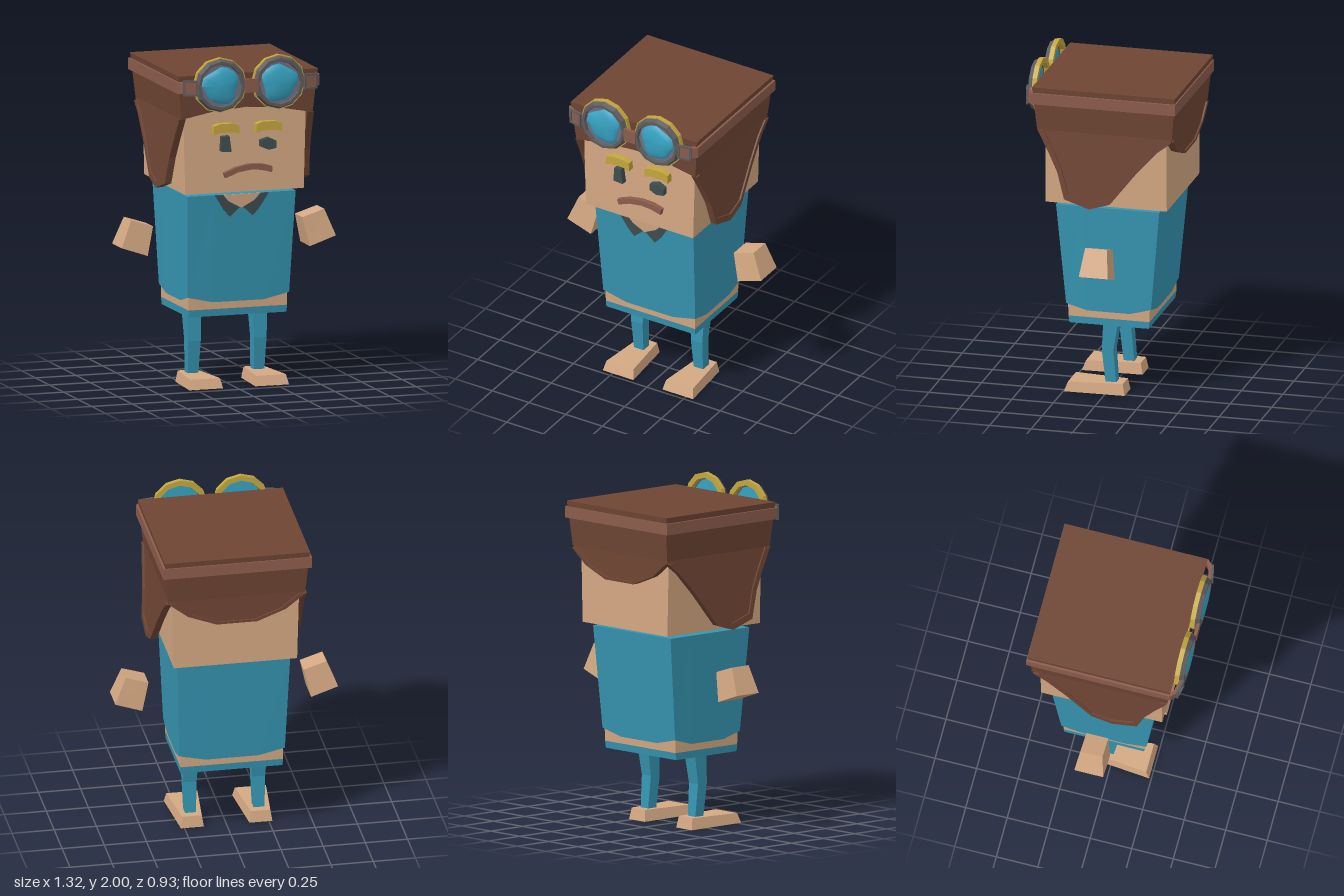
import * as THREE from 'three';

const mat = (name, color, side = THREE.FrontSide) => {
  const m = new THREE.MeshStandardMaterial({ color, side });
  m.name = name;
  return m;
};
const D = THREE.DoubleSide;
const CZ = -0.033; // depth centre of head and torso

// Skin through rings of [x, y, z]; rings run counterclockwise seen from the end
function loft(rings, capStart = true, capEnd = true) {
  const pos = [];
  const tri = (a, b, c) => pos.push(...a, ...b, ...c);
  const n = rings[0].length;
  for (let r = 0; r < rings.length - 1; r++) {
    for (let i = 0; i < n; i++) {
      const j = (i + 1) % n, lo = rings[r], hi = rings[r + 1];
      tri(lo[i], lo[j], hi[j]);
      tri(lo[i], hi[j], hi[i]);
    }
  }
  const first = rings[0], last = rings[rings.length - 1];
  for (let i = 1; i < n - 1; i++) {
    if (capStart) tri(first[0], first[i + 1], first[i]);
    if (capEnd) tri(last[0], last[i], last[i + 1]);
  }
  const g = new THREE.BufferGeometry();
  g.setAttribute('position', new THREE.Float32BufferAttribute(pos, 3));
  g.computeVertexNormals();
  return g;
}

// Rectangle ring, with k points per side and a height rule
function ring(y, hx, hz, cx = 0, cz = CZ, k = 1, yRule = () => y) {
  const c = [[hx, hz], [hx, -hz], [-hx, -hz], [-hx, hz]];
  const out = [];
  for (let s = 0; s < 4; s++) {
    for (let i = 0; i < k; i++) {
      const t = i / k, a = c[s], b = c[(s + 1) % 4];
      out.push([cx + a[0] + (b[0] - a[0]) * t, yRule(s, t), cz + a[1] + (b[1] - a[1]) * t]);
    }
  }
  return out;
}

function plate(points, depth, z) {
  const shape = new THREE.Shape(points.map(p => new THREE.Vector2(...p)));
  return new THREE.ExtrudeGeometry(shape, { depth, bevelEnabled: false }).translate(0, 0, z);
}

function flatLathe(profile, sides) {
  const g = new THREE.LatheGeometry(profile.map(p => new THREE.Vector2(...p)), sides);
  g.rotateX(Math.PI / 2);
  const f = g.toNonIndexed();
  f.computeVertexNormals();
  return f;
}

export function createModel() {
  const skin = mat('skin', 0xd4a882);
  const hat = mat('hat brown', 0x6f4534, D);
  const strap = mat('strap brown', 0x8b5c4c, D);
  const cloth = mat('teal cloth', 0x3595b2, D);
  const glass = mat('lens blue', 0x36a3c2, D);
  const glare = mat('lens grey', 0x6e6e82);
  const metal = mat('goggle grey', 0x5d5b5d);
  const gold = mat('gold', 0xc4a63e);
  const dark = mat('dark grey', 0x3f4d50, D);

  const model = new THREE.Group();
  const add = (name, geo, material, parent = model) => {
    const m = new THREE.Mesh(geo, material);
    m.name = name;
    parent.add(m);
    return m;
  };

  // Head, neck and torso
  add('head', loft([ring(1.185, 0.365, 0.365), ring(1.75, 0.38, 0.365)]), skin);
  add('neck', new THREE.BoxGeometry(0.22, 0.06, 0.225).translate(0, 1.175, CZ), dark);
  const hem = (s, t) => (t === 0 ? 0.555 : 0.52);
  add('shirt', loft([
    ring(0, 0.313, 0.256, 0, CZ, 4, hem), ring(1.163, 0.334, 0.311, 0, CZ, 4),
  ], false, true), cloth);
  add('belly', loft([ring(0.475, 0.303, 0.243), ring(0.62, 0.306, 0.25)]), skin);
  add('shorts', loft([ring(0.435, 0.302, 0.239), ring(0.477, 0.304, 0.244)]), cloth);

  // Open neckline and collar, leaning with the shirt front
  const lean = g => g.translate(0, -1.163, 0).rotateX(0.085).translate(0, 1.163, 0.279);
  add('neckline', lean(plate([[-0.115, 0], [-0.06, -0.06], [0, -0.082], [0.06, -0.06], [0.115, 0]]
    .map(([x, y]) => [x, y + 1.163]), 0.004, 0)), skin);
  for (const s of [-1, 1]) {
    const leaf = [[0.165, 1.163], [0.11, 1.075], [0.07, 1.03], [0.01, 1.085], [0.085, 1.125], [0.115, 1.163]];
    add('collar', lean(plate(leaf.map(([x, y]) => [s * x, y]), 0.008, 0)), dark);
  }

  // Hands, legs and feet
  for (const s of [-1, 1]) {
    const quad = (a, b, h) => { // a is the outer corner, b the inner one
      const [r, l] = s > 0 ? [a, b] : [b, a];
      return [[s * r[0], r[1], CZ + h], [s * r[0], r[1], CZ - h], [s * l[0], l[1], CZ - h], [s * l[0], l[1], CZ + h]];
    };
    add('hand', loft([quad([0.66, 0.84], [0.5, 0.785], 0.087), quad([0.595, 0.998], [0.46, 0.955], 0.066)]), skin);
    const x = s * 0.203;
    add('leg', loft([
      ring(0.06, 0.032, 0.032, x, -0.027), ring(0.26, 0.039, 0.035, x, -0.008), ring(0.445, 0.046, 0.045, x, -0.029),
    ]), cloth);
    const sole = (y0, y1, toe, heel, z0, z1) => [
      [x + toe, y0, z0], [x + heel, y1, z1], [x - heel, y1, z1], [x - toe, y0, z0]];
    add('foot', loft([sole(0.01, 0, 0.104, 0.068, 0.238, -0.118), sole(0.068, 0.068, 0.092, 0.058, 0.217, -0.105)]), skin);
  }

  // Face
  const face = 0.325;
  for (const [x, tilt] of [[-0.125, 0], [0.138, 0]]) {
    add('eyebrow', plate([[-0.08, -0.03], [-0.04, -0.018], [0.04, -0.018], [0.08, -0.03],
      [0.077, 0.022], [0.04, 0.034], [-0.04, 0.034], [-0.077, 0.022]], 0.05, face)
      .rotateZ(tilt).translate(x, 1.565, 0), gold);
  }
  add('rightEye', plate([[-0.155, 1.435], [-0.092, 1.43], [-0.105, 1.525], [-0.15, 1.522]], 0.045, face), dark);
  add('leftEye', plate([[0.09, 1.45], [0.135, 1.43], [0.185, 1.438], [0.185, 1.48], [0.14, 1.502], [0.09, 1.488]], 0.045, face), dark);
  add('mouth', plate([[-0.125, 1.275], [-0.05, 1.305], [0.03, 1.317], [0.09, 1.313], [0.16, 1.295],
    [0.163, 1.33], [0.1, 1.348], [0.02, 1.35], [-0.06, 1.335], [-0.135, 1.305]], 0.037, face), strap);

  // Cap with an arched front edge and a thick rim
  const arch = (s, t) => 1.638 + (s === 3 ? 0.055 * Math.sin(Math.PI * t) : 0);
  add('cap', loft([
    ring(0, 0.385, 0.375, 0, CZ, 4, arch), ring(0, 0.405, 0.406, 0, CZ, 4, arch), ring(1.9, 0.43, 0.431, 0, CZ, 4),
  ], false, true), hat);

  // Hanging flaps, each a plate with a raised trim along its lower edge
  function flap(name, edge, mid, base, slope, turn, flip) {
    const pts = edge.map(([u, y]) => [flip * u, y]);
    const inner = pts.map(([u, y]) => [flip * mid + (u - flip * mid) * 0.91, 1.65 + (y - 1.65) * 0.92]);
    const top = [pts[pts.length - 1], pts[0]].map(p => [p[0], 1.66]);
    const g = new THREE.Group();
    g.name = name;
    const parts = [['flapPanel', [...pts, ...top], 0.03], ['flapTrim', [...pts, ...inner.reverse()], 0.04]];
    for (const [n, outline, depth] of parts) {
      const geo = plate(outline, depth, base), p = geo.attributes.position;
      for (let i = 0; i < p.count; i++) p.setZ(i, p.getZ(i) + (1.64 - p.getY(i)) * slope);
      geo.computeVertexNormals();
      add(n, geo.rotateY(turn), hat, g);
    }
    model.add(g);
    return g;
  }
  const earEdge = [[0.37, 1.64], [0.3, 1.51], [0.245, 1.395], [0.2, 1.235], [0.05, 1.187],
    [-0.075, 1.225], [-0.233, 1.425], [-0.35, 1.555], [-0.434, 1.62]];
  flap('leftEarFlap', earEdge, CZ, 0.375, 0.075, Math.PI / 2, -1);
  flap('rightEarFlap', earEdge, CZ, 0.375, 0.075, -Math.PI / 2, 1);
  flap('neckFlap', [[-0.405, 1.625], [-0.29, 1.535], [-0.12, 1.47], [0.12, 1.47], [0.29, 1.535], [0.405, 1.625]],
    0, 0.372, 0, Math.PI, 1).position.z = CZ;

  // Goggle strap swept around the cap
  const path = [[0.32, 0.447], [0.41, 0.428], [0.44, 0.4], [0.44, -0.468], [-0.44, -0.468], [-0.44, 0.4], [-0.41, 0.428], [-0.32, 0.447]];
  add('goggleStrap', loft(path.map(([x, z]) => {
    const ix = x * 0.965, iz = CZ + (z - CZ) * 0.965;
    return [[ix, 1.8, iz], [ix, 1.867, iz], [x, 1.867, z], [x, 1.8, z]];
  })), strap);
  add('goggleBridge', new THREE.BoxGeometry(0.08, 0.08, 0.02).translate(0.003, 1.83, 0.443), strap);

  // Goggles and buckles
  for (const s of [-1, 1]) {
    const eye = new THREE.Group();
    eye.name = 'goggle';
    eye.position.set(s * 0.18, 1.838, 0);
    model.add(eye);
    add('goldRing', flatLathe([[0.13, 0.396], [0.163, 0.396], [0.163, 0.424], [0.13, 0.424], [0.13, 0.396]], 12), gold, eye);
    add('greyRing', flatLathe([[0.122, 0.424], [0.157, 0.424], [0.145, 0.45], [0.128, 0.45], [0.122, 0.424]], 12), metal, eye);
    add('lensBack', new THREE.CircleGeometry(0.13, 12).translate(0, 0, 0.428), glass, eye);
    add('lensGlare', new THREE.CircleGeometry(0.126, 12).translate(0, 0, 0.431), glare, eye);
    // Slightly wavy dome
    const dome = new THREE.SphereGeometry(1, 16, 4, 0, Math.PI * 2, 0, Math.PI / 2).rotateX(Math.PI / 2);
    const p = dome.attributes.position;
    for (let i = 0; i < p.count; i++) {
      const a = Math.atan2(p.getY(i), p.getX(i));
      const r = 0.109 + 0.009 * Math.sin(3 * a + s) + 0.007 * Math.sin(5 * a);
      p.setXYZ(i, p.getX(i) * r, p.getY(i) * r, 0.432 + p.getZ(i) * 0.028);
    }
    dome.computeVertexNormals();
    add('lensDome', dome, glass, eye);

    const buckle = new THREE.Group();
    buckle.name = 'buckle';
    buckle.position.set(s * 0.37, 1.834, 0.441);
    buckle.rotation.y = s * 0.21;
    model.add(buckle);
    for (const t of [-1, 1]) {
      add('buckleBar', new THREE.BoxGeometry(0.086, 0.012, 0.014).translate(0, t * 0.04, 0), metal, buckle);
      add('buckleSide', new THREE.BoxGeometry(0.012, 0.092, 0.014).translate(t * 0.037, 0, 0), metal, buckle);
    }
  }
  return model;
}
